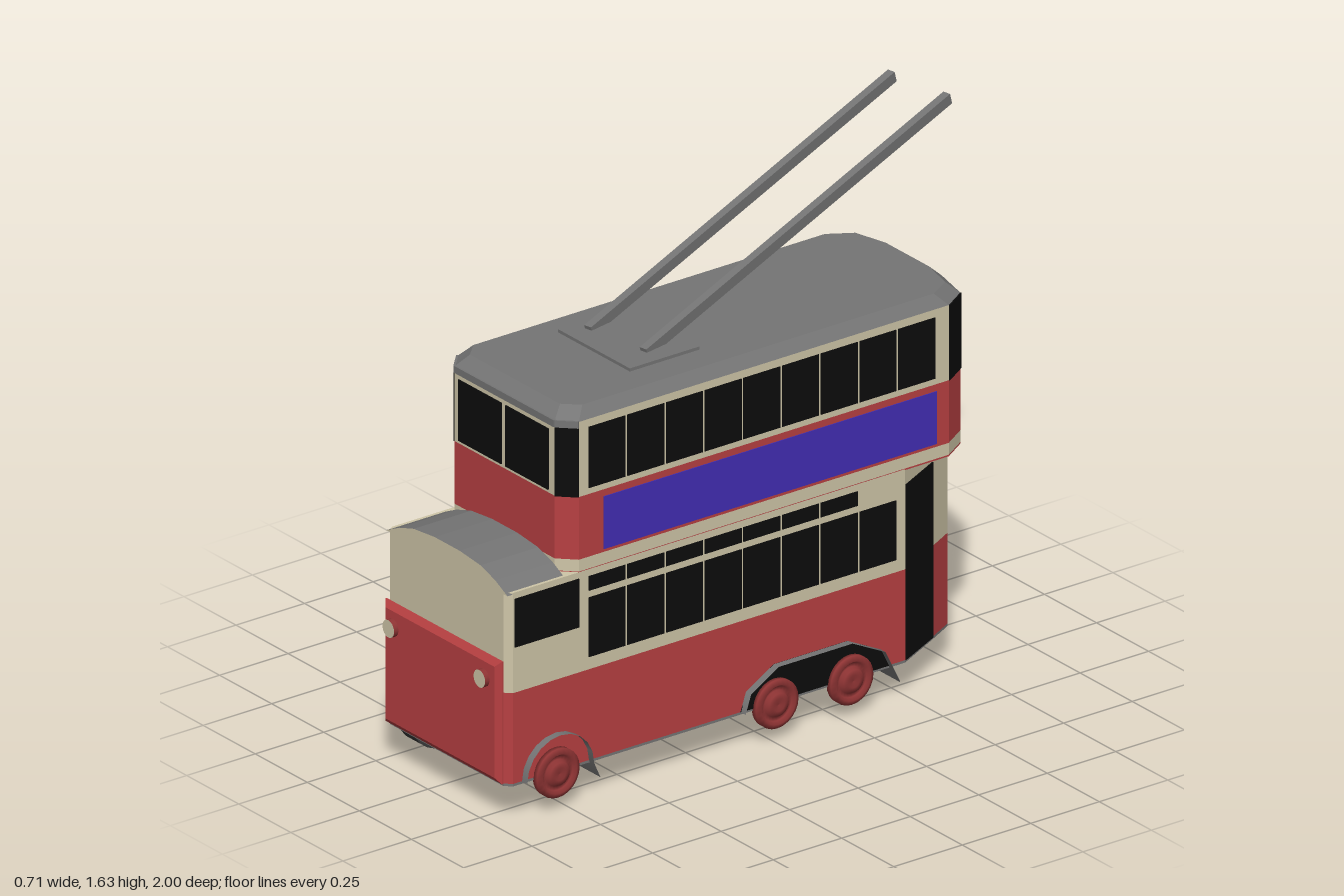
import * as THREE from 'three';

const mat = (name, color, side = THREE.FrontSide) => {
  const m = new THREE.MeshStandardMaterial({ color, side });
  m.name = name;
  return m;
};

export function createModel() {
  const red = mat('body red', 0xb84042);
  const cream = mat('cream', 0xcfc6a8);
  const grey = mat('roof grey', 0x757575, THREE.DoubleSide);
  const black = mat('glass black', 0x0c0c0c);
  const blue = mat('banner blue', 0x432db4);
  const rubber = mat('tyre rubber', 0x3a3a3a);
  const hubRed = mat('hub red', 0x8f3434);

  const bus = new THREE.Group();
  bus.name = 'trolleybus';
  const add = (name, geo, material) => {
    const m = new THREE.Mesh(geo, material);
    m.name = name;
    bus.add(m);
    return m;
  };
  const box = (name, material, x0, x1, y0, y1, z0, z1) =>
    add(name, new THREE.BoxGeometry(x1 - x0, y1 - y0, z1 - z0), material)
      .position.set((x0 + x1) / 2, (y0 + y1) / 2, (z0 + z1) / 2);

  // Upright prism from a plan outline of [x, z] points
  const prismGeo = (plan, y0, y1) => {
    const s = new THREE.Shape(plan.map(([x, z]) => new THREE.Vector2(x, -z)));
    return new THREE.ExtrudeGeometry(s, { depth: y1 - y0, bevelEnabled: false })
      .rotateX(-Math.PI / 2).translate(0, y0, 0);
  };
  const prism = (name, material, plan, y0, y1) => add(name, prismGeo(plan, y0, y1), material);

  // Thin upright plate standing on the line between two plan points
  const plate = (name, material, [xa, za], [xb, zb], y0, y1) => {
    const m = add(name, new THREE.BoxGeometry(Math.hypot(xb - xa, zb - za), y1 - y0, 0.008), material);
    m.position.set((xa + xb) / 2, (y0 + y1) / 2, (za + zb) / 2);
    m.rotation.y = -Math.atan2(zb - za, xb - xa);
    return m;
  };
  const L = -0.252, R = 0.33, CX = 0.039;

  // Lower deck, with the rear corner cut away for the open entrance
  const lower = [[L, 0.94], [-0.235, 0.96], [0.31, 0.96], [R, 0.94], [R, -0.49],
    [0.25, -0.65], [0.2, -0.745], [-0.08, -0.745], [-0.2, -0.72], [L, -0.65]];
  prism('floor', grey, lower, 0.112, 0.12);
  prism('lowerSkirt', red, lower, 0.12, 0.41);
  prism('lowerDeck', cream, lower, 0.41, 0.73);

  // Upper deck bands
  const upper = [[L, 0.7], [-0.2, 0.75], [0.28, 0.75], [R, 0.7], [R, -0.65],
    [0.28, -0.73], [0.15, -0.76], [-0.08, -0.76], [-0.2, -0.73], [L, -0.65]];
  prism('platformCeiling', red, upper, 0.727, 0.732);
  prism('creamBand', cream, upper, 0.732, 0.77);
  prism('upperPanel', red, upper, 0.77, 0.97);
  prism('upperDeck', cream, upper, 0.97, 1.21);

  // Roof with sloping edges
  const roof = prismGeo(upper, 1.21, 1.245);
  const p = roof.attributes.position;
  for (let i = 0; i < p.count; i++) {
    if (p.getY(i) > 1.23) p.setXYZ(i, CX + (p.getX(i) - CX) * 0.9, 1.245, p.getZ(i) * 0.95);
  }
  roof.computeVertexNormals();
  add('roof', roof, grey);
  plate('roofFrontEdge', grey, [-0.2, 0.75], [0.28, 0.75], 1.19, 1.212);
  for (const [a, b] of [[[L, 0.7], [-0.2, 0.75]], [[0.28, 0.75], [R, 0.7]]]) {
    plate('roofCornerEdge', grey, a, b, 1.19, 1.212);
    plate('frontCornerWindow', black, a, b, 0.97, 1.19);
  }

  // Upper front windows
  box('upperFrontWindow', black, -0.18, 0.027, 0.98, 1.175, 0.747, 0.754);
  box('upperFrontWindow', black, 0.047, 0.252, 0.98, 1.175, 0.747, 0.754);

  // Rear windows
  plate('rearCornerWindow', black, [R, -0.65], [0.28, -0.73], 0.97, 1.21);
  plate('rearCornerWindow', black, [-0.2, -0.73], [L, -0.65], 0.97, 1.21);
  plate('upperRearWindow', black, [0.15, -0.76], [-0.08, -0.76], 0.98, 1.2);
  plate('lowerRearWindow', black, [0.17, -0.745], [-0.07, -0.745], 0.46, 0.66);
  plate('lowerRearWindow', black, [-0.09, -0.743], [-0.19, -0.722], 0.46, 0.67);
  plate('lowerRearWindow', black, [-0.205, -0.713], [-0.247, -0.658], 0.46, 0.7);

  // Entrance
  plate('doorway', black, [R - 0.002, -0.492], [0.25, -0.65], 0.12, 0.68);

  // Side windows, banners and rear wheel arches
  const archPlan = [[0.11, 0.12], [0.09, 0.18], [-0.01, 0.24], [-0.28, 0.24], [-0.4, 0.18], [-0.43, 0.12]];
  for (const side of [1, -1]) {
    const x = side > 0 ? R : L;
    const panel = (name, m, z0, z1, y0, y1) => box(name, m, x - 0.003, x + 0.003, y0, y1, z0, z1);
    const row = (name, count, y0, y1) => {
      for (let i = 0; i < count; i++) {
        const z = 0.665 - i * 0.1412;
        panel(name, black, z - 0.134, z, y0, y1);
      }
    };
    row('upperSideWindow', 9, 0.99, 1.185);
    row('lowerSideWindow', side > 0 ? 8 : 9, 0.45, 0.64);
    row('ventWindow', 7, 0.662, 0.708);
    panel('cabWindow', black, 0.7, 0.935, 0.555, 0.71);
    panel('banner', side > 0 ? blue : black, -0.605, 0.61, 0.78, 0.948);
    const arch = new THREE.Shape(archPlan.map(([z, y]) => new THREE.Vector2(-z, y)));
    add('rearWheelArch', new THREE.ExtrudeGeometry(arch, { depth: 0.006, bevelEnabled: false })
      .rotateY(Math.PI / 2).translate(x - 0.003, 0, 0), black);
  }

  // Cab hood: cream front, grey curved top
  const hood = new THREE.Shape([[L, 0.725], [R, 0.725], [0.27, 0.755], [0.2, 0.777], [0.1, 0.787],
    [-0.02, 0.787], [-0.12, 0.777], [-0.19, 0.755]].map(([x, y]) => new THREE.Vector2(x, y)));
  add('cabHood', new THREE.ExtrudeGeometry(hood, { depth: 0.21, bevelEnabled: false })
    .translate(0, 0, 0.75), [cream, grey]);

  // Front panel with bevelled rim
  const front = new THREE.Shape([[-0.225, 0.14], [0.298, 0.14], [0.298, 0.495], [-0.225, 0.495]]
    .map(([x, y]) => new THREE.Vector2(x, y)));
  add('frontPanel', new THREE.ExtrudeGeometry(front,
    { depth: 0.005, bevelSize: 0.018, bevelThickness: 0.014, bevelSegments: 1 })
    .translate(0, 0, 0.965), red);
  for (const x of [-0.19, 0.247]) {
    add('headlight', new THREE.CylinderGeometry(0.028, 0.028, 0.03, 16)
      .rotateX(Math.PI / 2).translate(x, 0.443, 0.985), [hubRed, cream, cream]);
  }

  // Mudguards: thin curved sheets across the whole width
  const ribbon = (name, pts) => {
    const v = [], idx = [];
    pts.forEach(([z, y], i) => {
      v.push(-0.28, y, z, 0.355, y, z);
      if (i) idx.push(2 * i - 2, 2 * i - 1, 2 * i, 2 * i - 1, 2 * i + 1, 2 * i);
    });
    const g = new THREE.BufferGeometry();
    g.setAttribute('position', new THREE.Float32BufferAttribute(v, 3));
    g.setIndex(idx);
    g.computeVertexNormals();
    add(name, g, grey);
  };
  const arc = [];
  for (let i = 0; i <= 10; i++) {
    const a = i / 10 * Math.PI;
    arc.push([0.785 + 0.122 * Math.cos(a), 0.12 + 0.122 * Math.sin(a)]);
  }
  ribbon('frontMudguard', [...arc, [0.64, 0.068]]);
  ribbon('rearMudguard', [...archPlan, [-0.455, 0.068]]);

  // Wheels: full tyres on the right, exposed hubs on the left
  const hubProfile = [[0, -0.008], [0.078, -0.008], [0.078, 0.012], [0.062, 0.02], [0.055, 0.008],
    [0.042, 0.006], [0.036, 0.02], [0.02, 0.022], [0, 0.018]].map(([r, h]) => new THREE.Vector2(r, h));
  for (const z of [0.787, -0.012, -0.285]) {
    add('tyre', new THREE.CylinderGeometry(0.118, 0.118, 0.07, 24)
      .rotateZ(Math.PI / 2).translate(-0.242, 0.118, z), rubber);
    for (const side of [1, -1]) {
      add('hub', new THREE.LatheGeometry(hubProfile, 24).rotateZ(-side * Math.PI / 2)
        .translate(side > 0 ? 0.334 : -0.274, 0.118, z), hubRed);
    }
  }

  // Trolley poles on their base plate
  box('poleBase', grey, -0.145, 0.2, 1.243, 1.255, 0.16, 0.415);
  for (const [x, z] of [[-0.09, 0.345], [0.13, 0.31]]) {
    const a = new THREE.Vector3(x, 1.25, z);
    const b = new THREE.Vector3(x - 0.252, 1.615, z - 1.3);
    const pole = add('trolleyPole', new THREE.BoxGeometry(0.026, 0.034, a.distanceTo(b)), grey);
    pole.position.copy(a).lerp(b, 0.5);
    pole.lookAt(b);
  }
  return bus;
}
